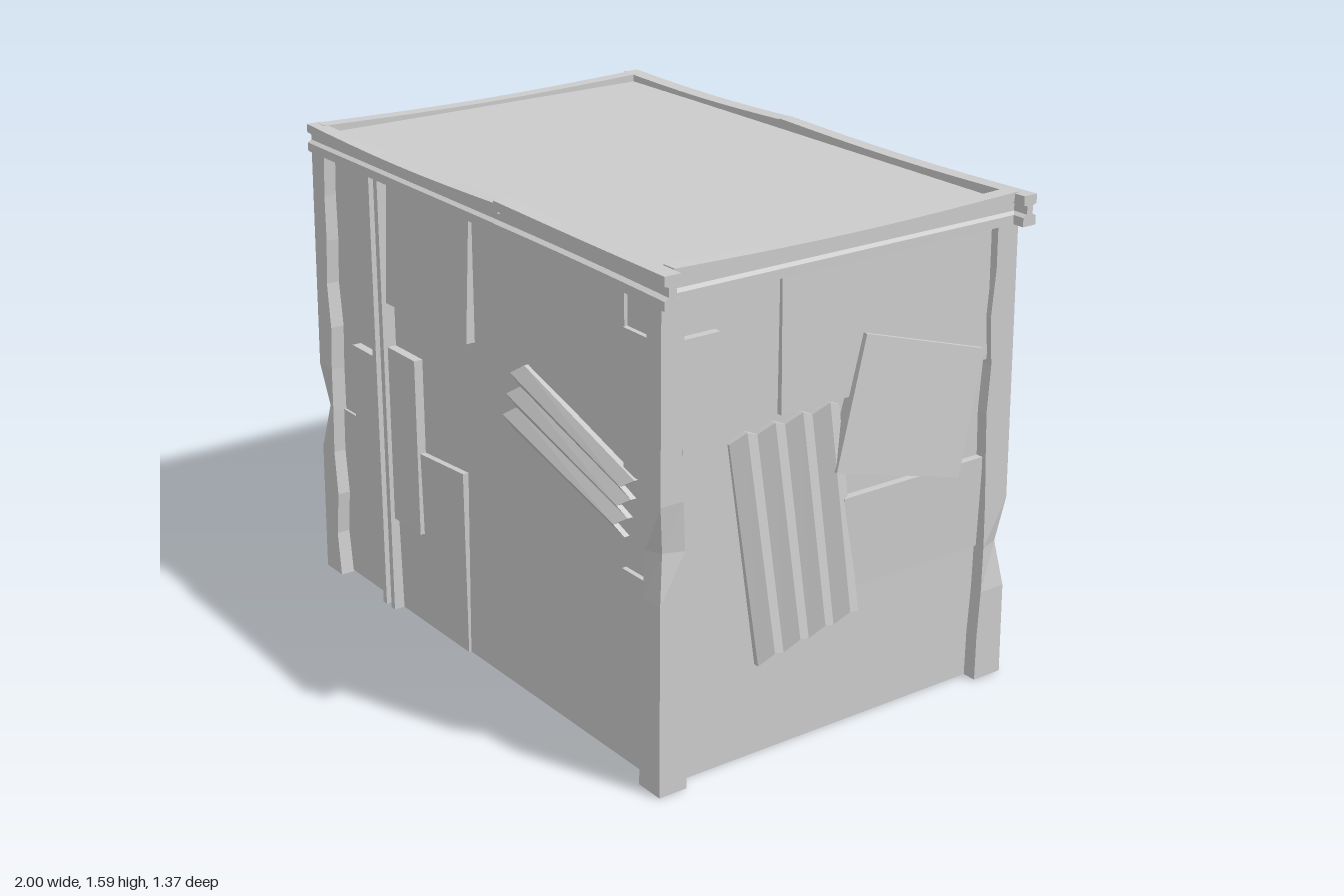
import * as THREE from 'three';

const material = new THREE.MeshStandardMaterial({ color: 0xcccccc, flatShading: true, side: THREE.DoubleSide });

function add(parent, geometry, name) {
  const mesh = new THREE.Mesh(geometry, material);
  mesh.name = name;
  parent.add(mesh);
  return mesh;
}

// Move every vertex by a rule
function deform(geometry, rule) {
  const p = geometry.attributes.position;
  const v = new THREE.Vector3();
  for (let i = 0; i < p.count; i++) {
    rule(v.fromBufferAttribute(p, i));
    p.setXYZ(i, v.x, v.y, v.z);
  }
  geometry.computeVertexNormals();
  return geometry;
}

const shapeOf = (points) => new THREE.Shape(points.map(([x, y]) => new THREE.Vector2(x, y)));

// Flat patch fixed to a wall; it may lean out further at the bottom than at the top
function panel(wall, points, top = 0.02, bottom = top, name = 'patchPanel') {
  const ys = points.map((p) => p[1]);
  const low = Math.min(...ys), high = Math.max(...ys);
  const geometry = new THREE.ExtrudeGeometry(shapeOf(points), { depth: 1, bevelEnabled: false });
  deform(geometry, (v) => {
    const t = (v.y - low) / (high - low);
    v.z = v.z > 0.5 ? bottom + (top - bottom) * t : -0.01;
  });
  return add(wall, geometry, name);
}

const rect = (x0, x1, y0, y1) => [[x0, y0], [x1, y0], [x1, y1], [x0, y1]];

// Corrugated sheet on four corners, with folds running from edge 0-1 to edge 3-2
function corrugated(wall, [a, b, c, d], folds, top = 0.025, bottom = 0.035) {
  const geometry = new THREE.BoxGeometry(1, 1, 1, folds * 2, 1, 1);
  const mix = THREE.MathUtils.lerp;
  deform(geometry, (v) => {
    const s = v.x + 0.5, t = v.y + 0.5;
    const ridge = Math.round(s * folds * 2) % 2;
    const x = mix(mix(a[0], b[0], s), mix(d[0], c[0], s), t);
    const y = mix(mix(a[1], b[1], s), mix(d[1], c[1], s), t);
    const out = mix(bottom, top, t) + (ridge ? 0.012 : -0.012);
    // folded ends are slightly scalloped
    const k = ridge ? 0.015 : -0.015;
    const len = Math.hypot(d[0] - a[0], d[1] - a[1]);
    v.set(x + k * (d[0] - a[0]) / len, y + k * (d[1] - a[1]) / len, v.z > 0 ? out : out - 0.018);
  });
  return add(wall, geometry, 'corrugatedSheet');
}

// Upright channel with two outward legs
function channel(wall, x0, x1, depth) {
  const t = 0.022;
  const outline = [[x0, 0.01], [x1, 0.01], [x1, -depth], [x1 - t, -depth],
    [x1 - t, -0.02], [x0 + t, -0.02], [x0 + t, -depth], [x0, -depth]];
  const geometry = new THREE.ExtrudeGeometry(shapeOf(outline), { depth: 1.5, bevelEnabled: false });
  geometry.rotateX(-Math.PI / 2);
  add(wall, geometry, 'channelPost');
}

// I-section roof beam along local x, sagging gently
function beam(parent, length, width, y0, y1, sag, flare = 0) {
  const w = width / 2, web = w * 0.45, f = 0.028;
  const outline = [[-w, y0], [w, y0], [w, y0 + f], [web, y0 + f + 0.008], [web, y1 - f - 0.005], [w, y1 - f],
    [w, y1], [-w, y1], [-w, y1 - f], [-web, y1 - f - 0.005], [-web, y0 + f + 0.008], [-w, y0 + f]];
  const geometry = new THREE.ExtrudeGeometry(shapeOf(outline), { depth: length, steps: 8, bevelEnabled: false });
  geometry.translate(0, 0, -length / 2);
  geometry.rotateY(Math.PI / 2);
  deform(geometry, (v) => {
    const t = v.x / length + 0.5;
    if (v.y > 1.53) v.y -= sag * Math.sin(Math.PI * t);
    v.z += flare * t * t;
  });
  return add(parent, geometry, 'roofBeam');
}

// Corner post with dented edges
function cornerPost(parent, x0, x1, z0, z1, seed) {
  let state = seed;
  const random = () => (state = (state * 16807) % 2147483647) / 2147483647;
  const rows = 10, height = 1.5;
  const dents = Array.from({ length: rows + 1 }, () => [random(), random()]);
  const chip = 3 + (seed % 4);
  const geometry = new THREE.BoxGeometry(1, height, 1, 1, rows, 1);
  deform(geometry, (v) => {
    v.y += height / 2;
    const row = Math.round(v.y / height * rows);
    const [dx, dz] = dents[row];
    const outX = v.x * x0 > 0, outZ = v.z * z0 > 0;
    const sx = Math.sign(x0), sz = Math.sign(z0);
    const taper = 0.015 * v.y / height;
    v.x = outX ? x0 - sx * taper : x1 + sx * 0.022 * dx;
    v.z = outZ ? z0 - sz * taper : z1 + sz * 0.022 * dz;
    if (outX && outZ && row === chip) { v.x -= sx * 0.022; v.z -= sz * 0.022; }
  });
  add(parent, geometry, 'cornerPost');
}

export function createModel() {
  const model = new THREE.Group();
  model.name = 'shed';

  // Closed body with a flat roof
  const body = new THREE.BoxGeometry(1.85, 1.55, 1.225);
  body.translate(-0.022, 0.775, -0.008);
  add(model, body, 'body');

  // Wall frames: local x runs to the right as seen from outside
  const wall = (name, x, z, turn) => {
    const group = new THREE.Group();
    group.name = name;
    group.position.set(x, 0, z);
    group.rotation.y = turn;
    model.add(group);
    return group;
  };
  const front = wall('frontWall', 0, 0.605, 0);
  const right = wall('leftWall', 0.903, 0, Math.PI / 2);
  const back = wall('backWall', 0, -0.62, Math.PI);
  const left = wall('rightWall', -0.947, 0, -Math.PI / 2);

  // Front patches
  channel(front, -0.63, -0.555, 0.045);
  panel(front, rect(-0.56, -0.07, 1.08, 1.49), 0.01, 0.03);
  panel(front, rect(-0.79, -0.62, 0.275, 0.87), 0.03);
  panel(front, rect(-0.56, -0.39, 0.33, 0.93), 0.03);
  panel(front, [[-0.56, 0], [-0.145, 0], [-0.13, 0.63], [-0.56, 0.6]], 0.02, 0.008);
  panel(front, rect(-0.92, -0.62, 0.005, 0.6), 0.008);
  panel(front, [[0.1, 1.24], [0.25, 1.1], [0.73, 1.05], [0.73, 1.49], [0.12, 1.49]], 0.01);
  panel(front, rect(0.73, 0.9, 0.93, 1.36), 0.015);
  panel(front, rect(0.72, 0.9, 0.02, 0.63), 0.015);
  corrugated(front, [[0.73, 0.74], [0.78, 0.93], [0.21, 1.1], [0.14, 0.88]], 3);

  // Side patches on the model's left
  panel(right, rect(-0.56, -0.435, 0.91, 1.365), 0.025);
  panel(right, rect(-0.21, 0.58, 1.065, 1.49), 0.01, 0.018);
  panel(right, rect(0.03, 0.58, 0.45, 0.75), 0.025, 0.015);
  panel(right, [[-0.02, 0.85], [0.46, 0.72], [0.55, 1.11], [0.09, 1.25]], 0.03, 0.048);
  corrugated(right, [[-0.28, 0.31], [0.1, 0.38], [0.01, 1.06], [-0.39, 1.03]], 4, 0.02, 0.03);

  // Back patches
  channel(back, -0.275, -0.19, 0.06);
  panel(back, rect(-0.88, -0.47, 0.57, 0.84), 0.012);
  panel(back, [[-0.52, 0.65], [-0.29, 0.81], [-0.52, 1.23], [-0.8, 1.03]], 0.03, 0.045);
  panel(back, rect(-0.18, -0.06, 0.95, 1.33), 0.025);
  panel(back, [[0.53, 0.35], [0.79, 0.69], [0.42, 0.88], [0.2, 0.6]], 0.02, 0.03);
  panel(back, rect(0.75, 0.92, 0.69, 1.4), 0.012);
  corrugated(back, [[0.41, 1.24], [0.29, 1.4], [-0.03, 1.18], [0.09, 1.03]], 3);
  corrugated(back, [[0.56, 0.82], [0.84, 0.91], [0.72, 1.43], [0.42, 1.32]], 4);

  // Side patches on the model's right
  panel(left, rect(-0.6, -0.47, 0.79, 1.38), 0.025);
  panel(left, [[-0.2, 0.65], [0.33, 0.65], [0.33, 1.24], [-0.2, 1.21]], 0.018, 0.025);
  panel(left, rect(0.02, 0.58, 1.22, 1.49), 0.012);
  panel(left, [[0.2, 0.41], [0.52, 0.42], [0.54, 0.67], [0.24, 0.67]], 0.03, 0.04);
  panel(left, [[-0.6, 0.26], [-0.22, 0.2], [-0.18, 0.55], [-0.58, 0.62]], 0.02, 0.03);

  // Corner posts
  cornerPost(model, -1, -0.9, 0.66, 0.555, 17);
  cornerPost(model, 0.95, 0.85, 0.655, 0.555, 1202);
  cornerPost(model, -0.995, -0.9, -0.675, -0.57, 331);
  cornerPost(model, 0.95, 0.85, -0.68, -0.565, 7704);

  // Roof edge: long beams in two overlapping lengths, short beams between
  beam(model, 1.15, 0.05, 1.485, 1.575, 0.012).position.set(-0.425, 0, 0.625);
  beam(model, 0.86, 0.055, 1.488, 1.585, 0.004, 0.02).position.set(0.57, 0, 0.63);
  beam(model, 0.88, 0.055, 1.485, 1.575, 0.008, -0.015).position.set(-0.56, 0, -0.645);
  beam(model, 1.13, 0.05, 1.488, 1.582, 0.01).position.set(0.435, 0, -0.645);
  for (const [x, top] of [[-0.97, 1.575], [0.935, 1.585]]) {
    const side = beam(model, 1.25, 0.05, 1.488, top, 0.012);
    side.rotation.y = Math.PI / 2;
    side.position.set(x, 0, -0.01);
  }
  return model;
}
